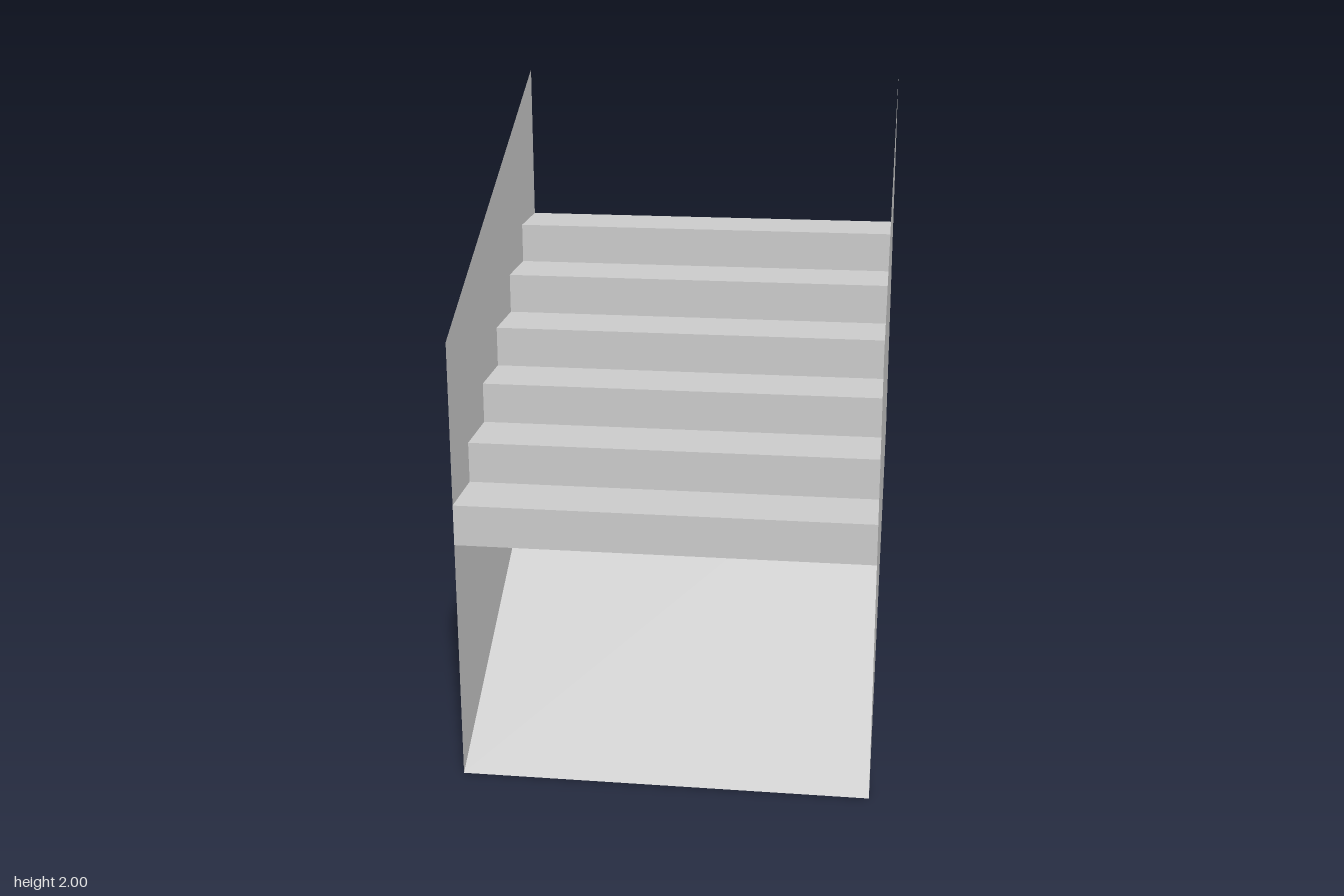
import * as THREE from 'three';

export function createModel() {
  const model = new THREE.Group();
  const grey = new THREE.MeshStandardMaterial({ color: 0xcccccc, side: THREE.DoubleSide });
  grey.name = 'light grey';

  const half = 0.622; // half width and half depth
  const steps = 6;
  const run = (2 * half) / steps;
  const rise = 0.125;
  const stairBase = 0.755;

  function addPanel(name, width, height) {
    const mesh = new THREE.Mesh(new THREE.PlaneGeometry(width, height), grey);
    mesh.name = name;
    model.add(mesh);
    return mesh;
  }

  // Stairs: open zig-zag of thin risers and treads climbing to the back
  for (let i = 0; i < steps; i++) {
    const z = half - i * run;
    const y = stairBase + i * rise;
    addPanel('riser' + (i + 1), 2 * half, rise).position.set(0, y + rise / 2, z);
    const tread = addPanel('tread' + (i + 1), 2 * half, run);
    tread.rotation.x = -Math.PI / 2;
    tread.position.set(0, y + rise, z - run / 2);
  }

  // Sloped underside, from the ground at the front up to the back
  const soffit = addPanel('soffit', 2 * half, Math.hypot(2 * half, stairBase));
  soffit.rotation.x = -Math.PI / 2 + Math.atan2(stairBase, 2 * half);
  soffit.position.y = stairBase / 2;

  // Side walls: slanted four-sided sheets, drawn with shape x = -z
  const outline = new THREE.Shape([
    new THREE.Vector2(-half, 0),
    new THREE.Vector2(half, stairBase),
    new THREE.Vector2(half, 2),
    new THREE.Vector2(-half, 1.376),
  ]);
  const wallGeometry = new THREE.ShapeGeometry(outline);
  for (const side of [-1, 1]) {
    const wall = new THREE.Mesh(wallGeometry, grey);
    wall.name = side > 0 ? 'leftWall' : 'rightWall';
    wall.rotation.y = Math.PI / 2;
    wall.position.x = side * half;
    model.add(wall);
  }

  return model;
}
